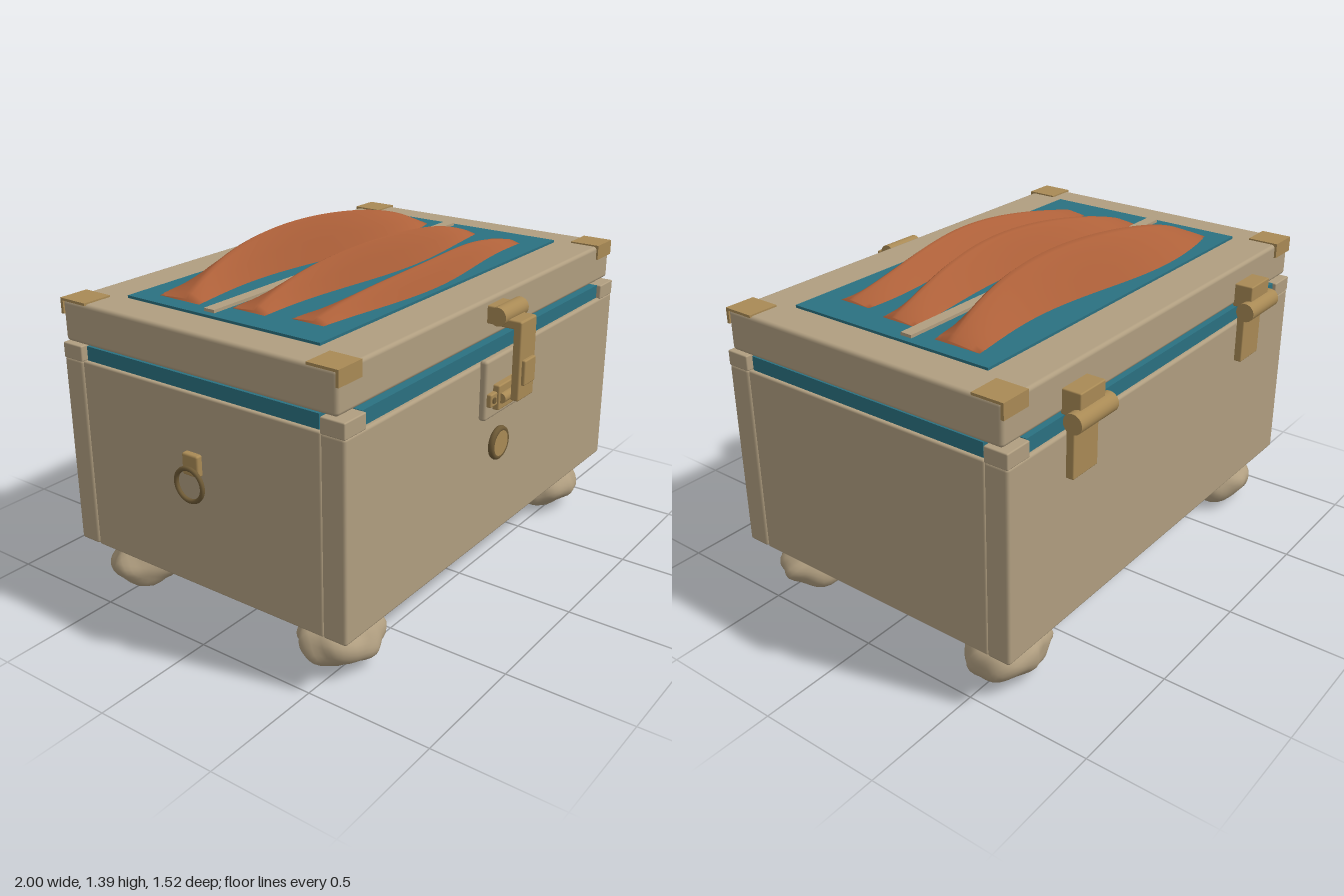
import * as THREE from 'three';
import { RoundedBoxGeometry } from 'three/addons/geometries/RoundedBoxGeometry.js';
import { mergeVertices } from 'three/addons/utils/BufferGeometryUtils.js';

const material = (name, color) => {
  const m = new THREE.MeshStandardMaterial({ color });
  m.name = name;
  return m;
};

export function createModel() {
  const model = new THREE.Group();
  model.name = 'chest';
  const tan = material('tan wood', 0xb09e80);
  const teal = material('teal lining', 0x2b7181);
  const rust = material('rust ridges', 0xad6039);
  const brass = material('brass', 0xa98a55);
  const bronze = material('dark bronze', 0x6e5a36);

  const add = (name, geometry, mat, parent = model) => {
    const mesh = new THREE.Mesh(geometry, mat);
    mesh.name = name;
    parent.add(mesh);
    return mesh;
  };
  // Box given by its extents; a radius rounds the edges
  const box = (name, mat, [x0, x1], [y0, y1], [z0, z1], r = 0, parent = model) => {
    const size = [x1 - x0, y1 - y0, z1 - z0];
    const g = r ? new RoundedBoxGeometry(...size, 2, r) : new THREE.BoxGeometry(...size);
    const mesh = add(name, g, mat, parent);
    mesh.position.set((x0 + x1) / 2, (y0 + y1) / 2, (z0 + z1) / 2);
    return mesh;
  };
  // Cylinder lying along x or z
  const rod = (name, mat, axis, r, length, x, y, z, parent = model) => {
    const g = new THREE.CylinderGeometry(r, r, length, 28);
    if (axis === 'x') g.rotateZ(Math.PI / 2);
    else g.rotateX(Math.PI / 2);
    const mesh = add(name, g, mat, parent);
    mesh.position.set(x, y, z);
    return mesh;
  };

  // Body: floor, front and back walls, side walls
  box('floor', tan, [-0.88, 0.92], [0.19, 0.235], [-0.58, 0.54], 0.008);
  box('frontWall', tan, [-0.963, 0.997], [0.22, 0.99], [0.535, 0.635], 0.012);
  box('backWall', tan, [-0.963, 0.997], [0.22, 0.99], [-0.675, -0.578], 0.012);
  box('rightWall', tan, [-0.96, -0.86], [0.22, 0.99], [-0.578, 0.535], 0.008);
  box('leftWall', tan, [0.894, 0.994], [0.22, 0.99], [-0.578, 0.535], 0.008);

  // Corner posts and teal rim strips between body and lid
  for (const x of [[-0.963, -0.845], [0.88, 0.997]])
    for (const z of [[0.535, 0.635], [-0.675, -0.578]])
      box('cornerPost', tan, x, [0.985, 1.046], z, 0.005);
  for (const z of [[0.535, 0.617], [-0.66, -0.58]])
    box('rimStrip', teal, [-0.845, 0.88], [0.985, 1.046], z);
  for (const x of [[-0.945, -0.86], [0.895, 0.98]])
    box('sideRimStrip', teal, x, [0.985, 1.046], [-0.565, 0.52]);

  // Lid with inlaid panel and slat
  box('lid', tan, [-0.963, 0.997], [1.056, 1.215], [-0.655, 0.606], 0.015);
  box('lidPanel', teal, [-0.81, 0.837], [1.2, 1.225], [-0.473, 0.422]);
  box('lidSlat', tan, [-0.783, 0.81], [1.215, 1.237], [-0.117, -0.069]);

  // Lid corner brackets: top plate with a flap folded over the edge
  for (const x of [[-0.965, -0.84], [0.872, 0.999]])
    for (const [edge, inner] of [[0.614, 0.485], [-0.664, -0.535]]) {
      const s = Math.sign(edge);
      const span = (a, b) => [Math.min(a, b), Math.max(a, b)];
      box('bracketTop', brass, x, [1.211, 1.221], span(edge, inner));
      box('bracketFlap', brass, x, [1.16, 1.221], span(edge, edge - s * 0.012));
    }

  // Wavy arched ridges: a leaning rounded triangle swept along x
  const profile = [[-1, 0], [-0.6, 0.36], [-0.2, 0.7], [0.15, 0.95], [0.3, 1], [0.42, 0.93], [0.7, 0.5], [1, 0]];
  const ridge = (x0, x1, z, amplitude, phase, halfWidth, height) => {
    const steps = 48, n = profile.length, position = [], index = [];
    for (let i = 0; i <= steps; i++) {
      const t = i / steps;
      const zc = z - amplitude * Math.sin(2 * Math.PI * t + phase);
      const h = 0.012 + (height - 0.012) * 4 * t * (1 - t);
      for (const [u, v] of profile)
        position.push(x0 + (x1 - x0) * t, 1.224 + h * v, zc + halfWidth * u);
      if (i === steps) break;
      for (let j = 0; j < n - 1; j++) {
        const a = i * n + j, b = a + n;
        index.push(a, a + 1, b, b, a + 1, b + 1);
      }
    }
    // End caps
    const last = steps * n;
    for (let j = 1; j < n - 1; j++) index.push(0, j + 1, j, last, last + j, last + j + 1);
    const g = new THREE.BufferGeometry();
    g.setAttribute('position', new THREE.Float32BufferAttribute(position, 3));
    g.setIndex(index);
    g.computeVertexNormals();
    add('lidRidge', g, rust);
  };
  ridge(-0.74, 0.767, -0.283, 0.042, 0, 0.104, 0.171);
  ridge(-0.7, 0.73, 0.04, 0.03, 1, 0.081, 0.134);
  ridge(-0.67, 0.7, 0.287, 0.033, 2, 0.074, 0.093);

  // Lumpy stone feet
  const foot = (x, z, seed) => {
    let g = new THREE.IcosahedronGeometry(1, 6);
    g.deleteAttribute('normal');
    g.deleteAttribute('uv');
    g = mergeVertices(g, 1e-4);
    const p = g.attributes.position, v = new THREE.Vector3();
    for (let i = 0; i < p.count; i++) {
      v.fromBufferAttribute(p, i);
      const lump = 0.05 * Math.sin(5 * v.x + seed) * Math.cos(4 * v.y + 2 * seed)
        + 0.04 * Math.sin(7 * v.z + 3 * seed + 3 * v.y) + 0.025 * Math.sin(11 * v.x - 8 * v.z + seed);
      v.multiplyScalar(1 + lump);
      p.setXYZ(i, v.x * 0.174, Math.min(v.y * 0.098, 0.099), v.z * 0.147);
    }
    g.computeVertexNormals();
    add('foot', g, tan).position.set(x, 0.105, z);
  };
  [[-0.757, 0.457], [0.793, 0.457], [-0.757, -0.506], [0.793, -0.506]]
    .forEach(([x, z], i) => foot(x, z, 1 + i * 1.7));

  // Front latch
  const latch = new THREE.Group();
  latch.name = 'latch';
  model.add(latch);
  box('latchPlate', tan, [-0.13, 0.163], [0.765, 1.005], [0.63, 0.662], 0.012, latch);
  box('latchMount', brass, [-0.043, 0.075], [1.12, 1.19], [0.6, 0.65], 0.006, latch);
  rod('latchBarrel', brass, 'x', 0.036, 0.172, 0.016, 1.163, 0.663, latch);
  box('latchArm', brass, [-0.043, 0.075], [1.118, 1.152], [0.66, 0.748], 0.006, latch);
  box('latchStrap', brass, [-0.043, 0.075], [0.84, 1.15], [0.717, 0.75], 0.006, latch);
  box('latchTab', brass, [-0.026, 0.058], [0.9, 1.0], [0.745, 0.764], 0.006, latch);
  box('catchBlock', brass, [-0.075, 0.107], [0.8, 0.9], [0.655, 0.688], 0.006, latch);
  box('catchBar', brass, [-0.12, 0.152], [0.822, 0.875], [0.655, 0.68], 0.006, latch);
  rod('catchPin', brass, 'x', 0.02, 0.16, 0.016, 0.848, 0.69, latch);
  for (const x of [-0.098, 0.13]) rod('rivet', bronze, 'z', 0.012, 0.01, x, 0.848, 0.68, latch);

  // Round lock below the latch
  rod('lockFace', brass, 'z', 0.056, 0.03, 0.016, 0.627, 0.642);
  add('lockRing', new THREE.TorusGeometry(0.056, 0.013, 10, 36), bronze).position.set(0.016, 0.627, 0.645);

  // Back hinges
  for (const x of [-0.58, 0.608]) {
    const hinge = new THREE.Group();
    hinge.name = 'hinge';
    model.add(hinge);
    rod('hingeBarrel', brass, 'x', 0.038, 0.218, x, 1.048, -0.723, hinge);
    box('upperLeaf', brass, [x - 0.073, x + 0.073], [1.05, 1.145], [-0.73, -0.65], 0.005, hinge);
    box('lowerLeaf', brass, [x - 0.073, x + 0.073], [0.815, 1.03], [-0.706, -0.673], 0.005, hinge);
  }

  // Pull ring on the right side
  box('ringMount', brass, [-0.984, -0.95], [0.68, 0.765], [-0.07, 0.005], 0.008);
  const ring = add('pullRing', new THREE.TorusGeometry(0.063, 0.009, 10, 36), bronze);
  ring.rotation.y = Math.PI / 2;
  ring.position.set(-0.991, 0.65, -0.032);

  return model;
}
